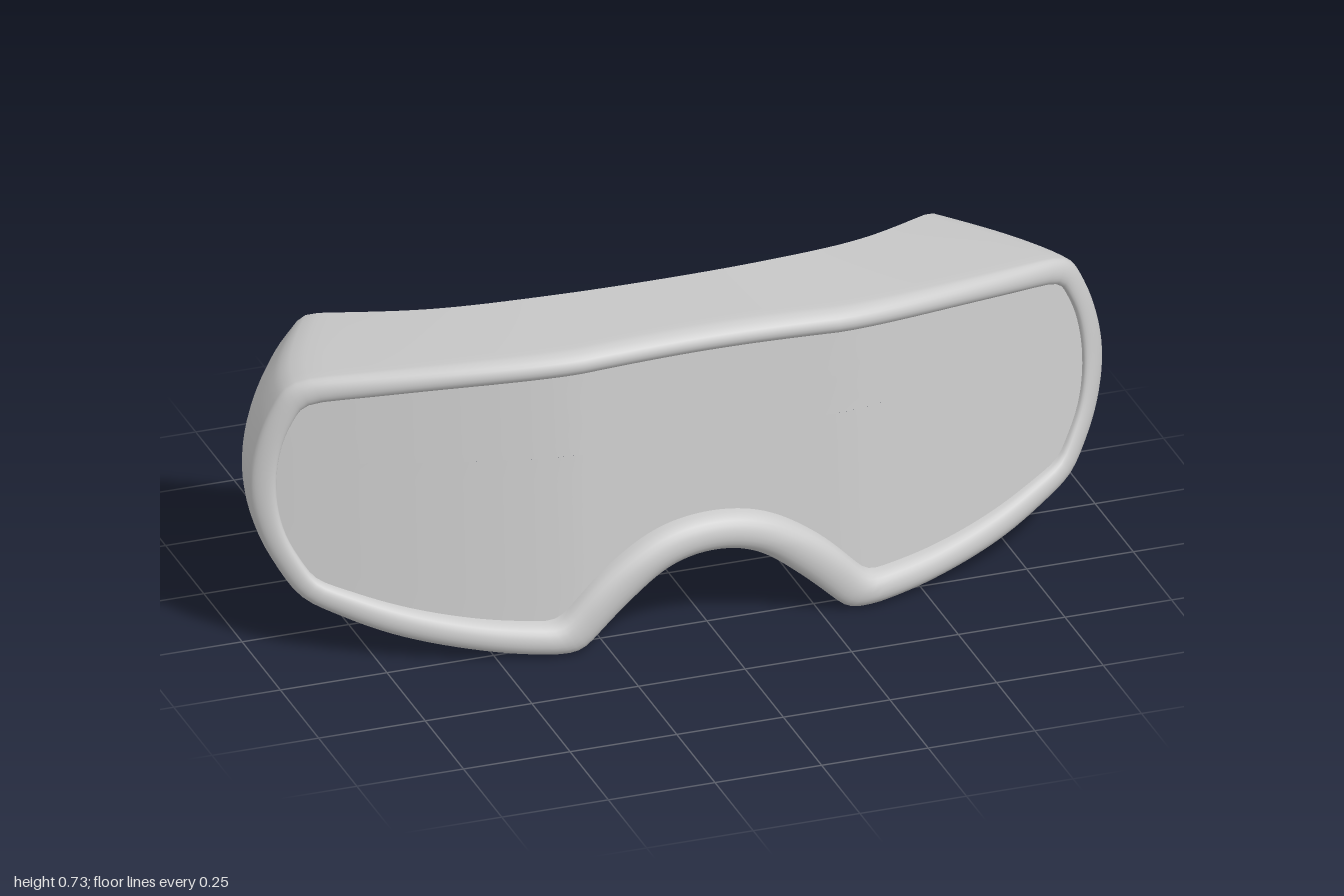
import * as THREE from 'three';

const STEPS = 24; // samples per half stretch of the outline

// Curved front surface: flat in the middle, sweeping back to the sides
const faceZ = (x, y) =>
  0.275 - 0.075 * (y - 0.28) - 0.365 * Math.pow(Math.max(0, Math.abs(x) - 0.3), 1.4);

// Half outlines as four stretches: top, side, bottom, nose
const outer = [
  [[0, 0.736], [0.3, 0.727], [0.6, 0.705], [0.915, 0.668]],
  [[0.915, 0.668], [0.972, 0.55], [1.0, 0.41], [0.975, 0.275], [0.905, 0.145]],
  [[0.905, 0.145], [0.72, 0.066], [0.5, 0.019], [0.315, 0.002]],
  [[0.315, 0.002], [0.2, 0.108], [0.1, 0.18], [0, 0.201]],
];
const inner = [
  [[0, 0.68], [0.3, 0.671], [0.6, 0.65], [0.887, 0.613]],
  [[0.887, 0.613], [0.93, 0.52], [0.946, 0.41], [0.93, 0.3], [0.872, 0.19]],
  [[0.872, 0.19], [0.7, 0.13], [0.53, 0.095], [0.365, 0.08]],
  [[0.365, 0.08], [0.25, 0.192], [0.125, 0.267], [0, 0.288]],
];
const back = [
  [[0, 0.695, -0.07], [0.25, 0.688, -0.09], [0.5, 0.662, -0.165], [0.74, 0.615, -0.328]],
  [[0.74, 0.615, -0.328], [0.82, 0.52, -0.317], [0.85, 0.41, -0.298], [0.84, 0.27, -0.25], [0.78, 0.113, -0.15]],
  [[0.78, 0.113, -0.15], [0.62, 0.065, -0.06], [0.46, 0.025, 0.02], [0.312, 0, 0.073]],
  [[0.312, 0, 0.073], [0.2, 0.108, 0.09], [0.1, 0.18, 0.105], [0, 0.201, 0.11]],
];

// Spline each stretch, mirror to a closed loop and soften the corners
function closedLoop(stretches, soften) {
  const half = [];
  stretches.forEach((pts, k) => {
    let p = pts.map(([x, y, z = 0]) => new THREE.Vector3(x, y, z));
    const flip = (v) => new THREE.Vector3(-v.x, v.y, v.z);
    let from = 0, to = 1;
    if (k === 0) { p = [...p.slice(1).reverse().map(flip), ...p]; from = 0.5; }
    if (k === 3) { p = [...p, ...p.slice(0, -1).reverse().map(flip)]; to = 0.5; }
    const curve = new THREE.CatmullRomCurve3(p);
    for (let i = 0; i < STEPS; i++) half.push(curve.getPoint(from + (to - from) * i / STEPS));
    if (k === 3) half.push(curve.getPoint(0.5));
  });
  const mirrored = half.slice(1, -1).reverse().map((v) => new THREE.Vector3(-v.x, v.y, v.z));
  let loop = [...half, ...mirrored];
  for (let s = 0; s < soften; s++) {
    const n = loop.length;
    loop = loop.map((v, i) => v.clone().multiplyScalar(2)
      .add(loop[(i + 1) % n]).add(loop[(i + n - 1) % n]).multiplyScalar(0.25));
  }
  return loop;
}

// Join closed rings of equal length into one smooth surface
function skin(rings, name) {
  const n = rings[0].length, index = [];
  for (let r = 0; r < rings.length - 1; r++) {
    for (let i = 0; i < n; i++) {
      const a = r * n + i, b = r * n + (i + 1) % n;
      index.push(a, a + n, b, b, a + n, b + n);
    }
  }
  const geometry = new THREE.BufferGeometry().setFromPoints(rings.flat());
  geometry.setIndex(index);
  geometry.computeVertexNormals();
  const mesh = new THREE.Mesh(geometry,
    new THREE.MeshStandardMaterial({ color: 0xcccccc, side: THREE.DoubleSide }));
  mesh.name = name;
  return mesh;
}

export function createModel() {
  const group = new THREE.Group();
  group.name = 'goggles';
  const onFace = (v) => { v.z = faceZ(v.x, v.y); return v; };
  const outerLoop = closedLoop(outer, 3).map(onFace);
  const innerLoop = closedLoop(inner, 2).map(onFace);
  const backLoop = closedLoop(back, 1);

  // Frame walls: from the open back edge to the front, bowed out at the sides
  const rings = [];
  const WALL = 10;
  for (let j = 0; j <= WALL; j++) {
    const t = j / WALL;
    rings.push(backLoop.map((b, i) => {
      const v = b.clone().lerp(outerLoop[i], t);
      v.x += 4 * t * (1 - t) * 0.035 * v.x ** 3;
      return v;
    }));
  }
  // Rounded rim: half-round bead from the outer outline to the lens edge
  const RIM = 12;
  for (let j = 1; j <= RIM; j++) {
    const a = Math.PI * j / RIM;
    rings.push(outerLoop.map((o, i) => {
      const v = o.clone().lerp(innerLoop[i], (1 - Math.cos(a)) / 2);
      const height = Math.min(0.045 - 0.025 * v.x * v.x, 0.325 - faceZ(v.x, v.y));
      v.z += height * Math.pow(Math.max(0, Math.sin(a)), 0.8);
      return v;
    }));
  }
  group.add(skin(rings, 'frame'));

  // Lens: rings closing from the rim onto a horizontal midline
  const lensRings = [];
  const LENS = 8;
  for (let j = 0; j <= LENS; j++) {
    const t = j / LENS;
    lensRings.push(innerLoop.map((p) => onFace(new THREE.Vector3(
      p.x * (1 - 0.2 * t), THREE.MathUtils.lerp(p.y, 0.47, t), 0))));
  }
  group.add(skin(lensRings, 'lens'));
  return group;
}
